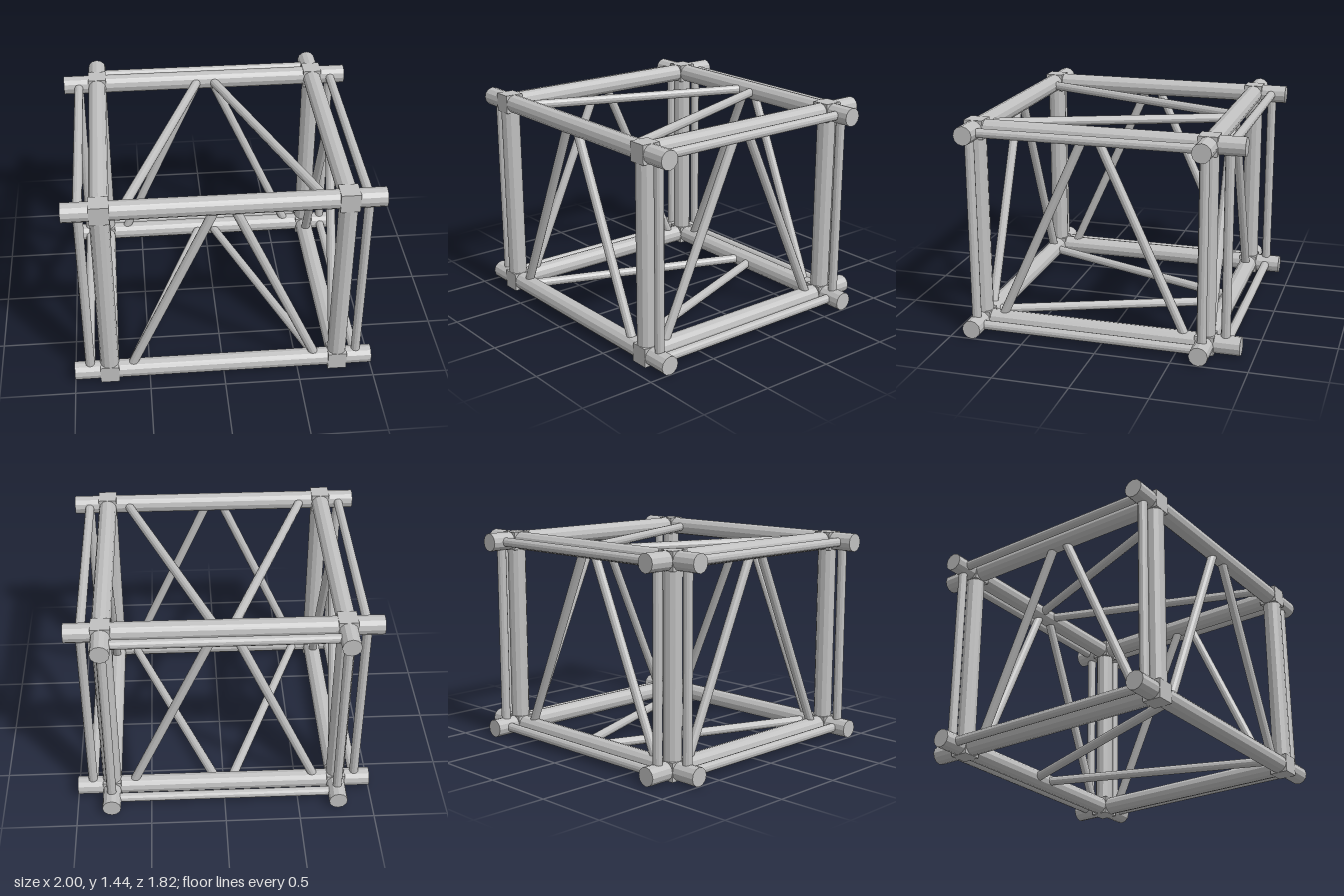
import * as THREE from 'three';

export function createModel() {
  const model = new THREE.Group();
  model.name = 'trussFrame';
  const steel = new THREE.MeshStandardMaterial({ color: 0xc0c0c0, flatShading: true });
  steel.name = 'steel grey';

  const R = 0.0625, r = 0.031;             // beam and brace radii
  const X = 0.767, FRONT = 0.85, BACK = -0.68;
  const LOW = R, HIGH = 1.3775;            // beam centre heights
  const GAP = 0.13;                        // offset of the outer rails

  // Straight tube between two points
  function tube(name, a, b, radius) {
    const start = new THREE.Vector3(...a), end = new THREE.Vector3(...b);
    const dir = end.clone().sub(start);
    const geometry = new THREE.CylinderGeometry(radius, radius, dir.length(), 12);
    const mesh = new THREE.Mesh(geometry, steel);
    mesh.position.copy(start).add(end).multiplyScalar(0.5);
    mesh.quaternion.setFromUnitVectors(new THREE.Vector3(0, 1, 0), dir.normalize());
    mesh.name = name;
    model.add(mesh);
  }

  // Horizontal beams, outer rails and the braces lying flat between them
  for (const y of [LOW, HIGH]) {
    for (const z of [FRONT, BACK]) tube('crossBeam', [-1, y, z], [1, y, z], R);
    tube('backRail', [-X, y, BACK - GAP], [X, y, BACK - GAP], r);
    for (const s of [-1, 1]) {
      tube('sideBeam', [s * X, y, -0.912], [s * X, y, FRONT], R);
      tube('sideRail', [s * (X + GAP), y, BACK], [s * (X + GAP), y, FRONT], r);
      tube('flatBrace', [s * 0.045, y, BACK], [s * 0.63, y, FRONT], r);
    }
  }

  // Columns, outer posts, corner blocks and upright braces
  const midZ = (FRONT + BACK) / 2;
  for (const s of [-1, 1]) {
    for (const z of [FRONT, BACK]) {
      tube('column', [s * X, LOW, z], [s * X, HIGH, z], R);
      tube('sidePost', [s * (X + GAP), LOW, z], [s * (X + GAP), HIGH, z], r);
      tube('faceBrace', [s * 0.63, LOW, z], [s * 0.045, HIGH, z], r);
      for (const y of [LOW, HIGH]) {
        const block = new THREE.Mesh(new THREE.BoxGeometry(2 * R, 2 * R, 2 * R), steel);
        block.position.set(s * X, y, z);
        block.name = 'cornerBlock';
        model.add(block);
      }
    }
    tube('backPost', [s * X, LOW, BACK - GAP], [s * X, HIGH, BACK - GAP], r);
    for (const d of [-1, 1]) {
      tube('sideBrace', [s * X, LOW, midZ + d * 0.64], [s * X, HIGH, midZ + d * 0.04], r);
    }
  }
  return model;
}
